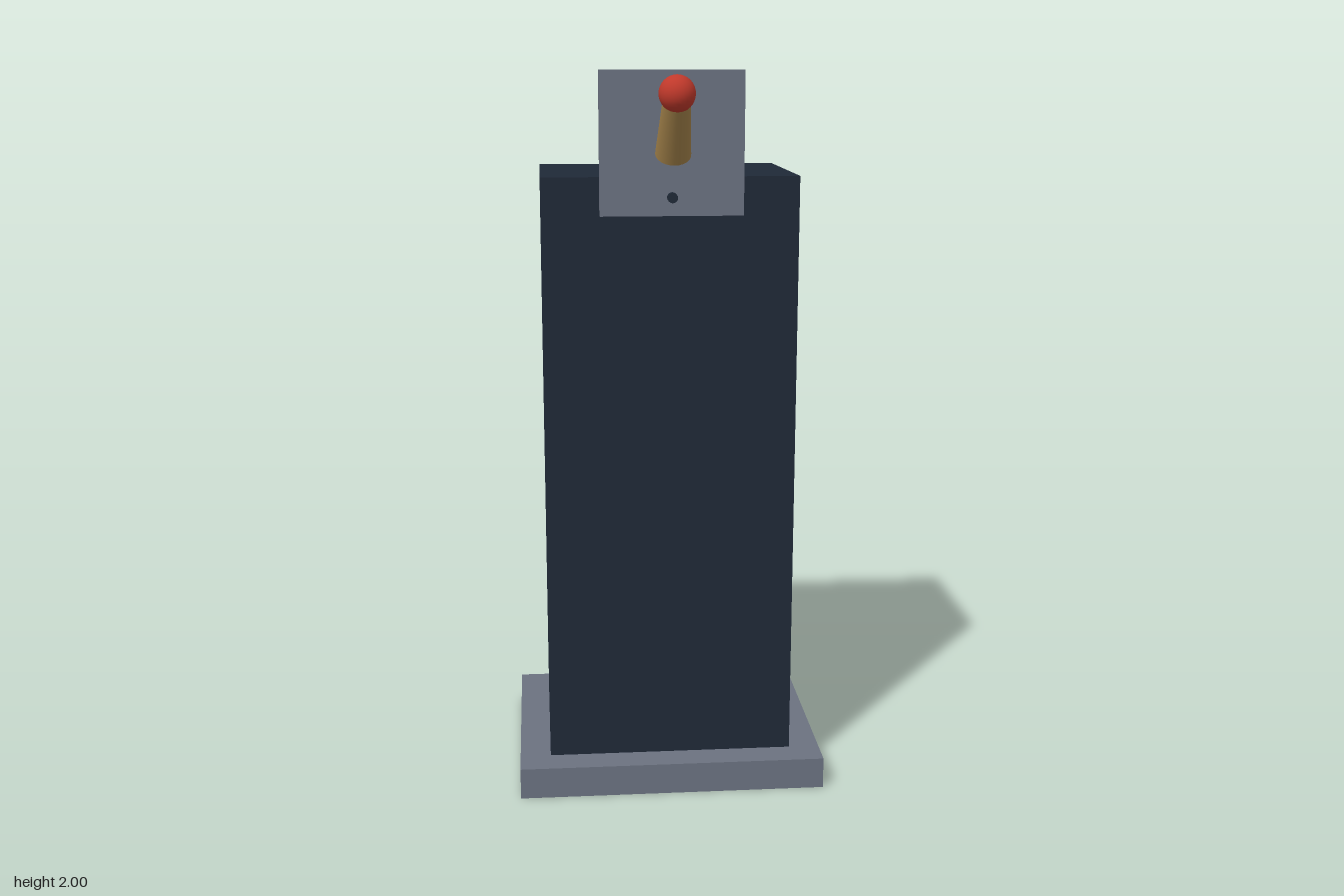
import * as THREE from 'three';

function material(name, color) {
  const m = new THREE.MeshStandardMaterial({ color });
  m.name = name;
  return m;
}

export function createModel() {
  const group = new THREE.Group();
  group.name = 'leverPedestal';

  const navy = material('dark navy', 0x1f2937);
  const grey = material('steel grey', 0x6b7280);
  const brass = material('brass', 0xa3824a);
  const red = material('red', 0xc0392b);

  function add(name, geometry, mat, x, y, z) {
    const mesh = new THREE.Mesh(geometry, mat);
    mesh.name = name;
    mesh.position.set(x, y, z);
    group.add(mesh);
    return mesh;
  }

  // Box given by its width and its y and z ranges, centred on x = 0
  function box(name, mat, width, y0, y1, z0, z1) {
    return add(name, new THREE.BoxGeometry(width, y1 - y0, z1 - z0), mat,
      0, (y0 + y1) / 2, (z0 + z1) / 2);
  }

  // Plinth, column and the plate on the front of the column
  box('base', grey, 0.86, 0, 0.088, -0.413, 0.276);
  box('column', navy, 0.688, 0.002, 1.725, -0.328, 0.19);
  box('mountingPlate', grey, 0.38, 1.625, 2, 0.19, 0.224);

  // Screws above and below the lever
  for (const [name, y] of [['upperScrew', 1.951], ['lowerScrew', 1.674]]) {
    const screw = add(name, new THREE.CylinderGeometry(0.0137, 0.0137, 0.034, 16), navy, 0, y, 0.228);
    screw.rotation.x = Math.PI / 2;
  }

  // Tapered lever leaning forward, with a ball knob at its tip
  const foot = new THREE.Vector3(0, 1.788, 0.251);
  const tip = new THREE.Vector3(0, 1.943, 0.364);
  const axis = tip.clone().sub(foot);
  const middle = foot.clone().add(tip).multiplyScalar(0.5);
  const lever = add('lever', new THREE.CylinderGeometry(0.034, 0.047, axis.length(), 24), brass,
    middle.x, middle.y, middle.z);
  lever.quaternion.setFromUnitVectors(new THREE.Vector3(0, 1, 0), axis.normalize());
  add('knob', new THREE.SphereGeometry(0.047, 24, 16), red, tip.x, tip.y, tip.z);

  return group;
}
